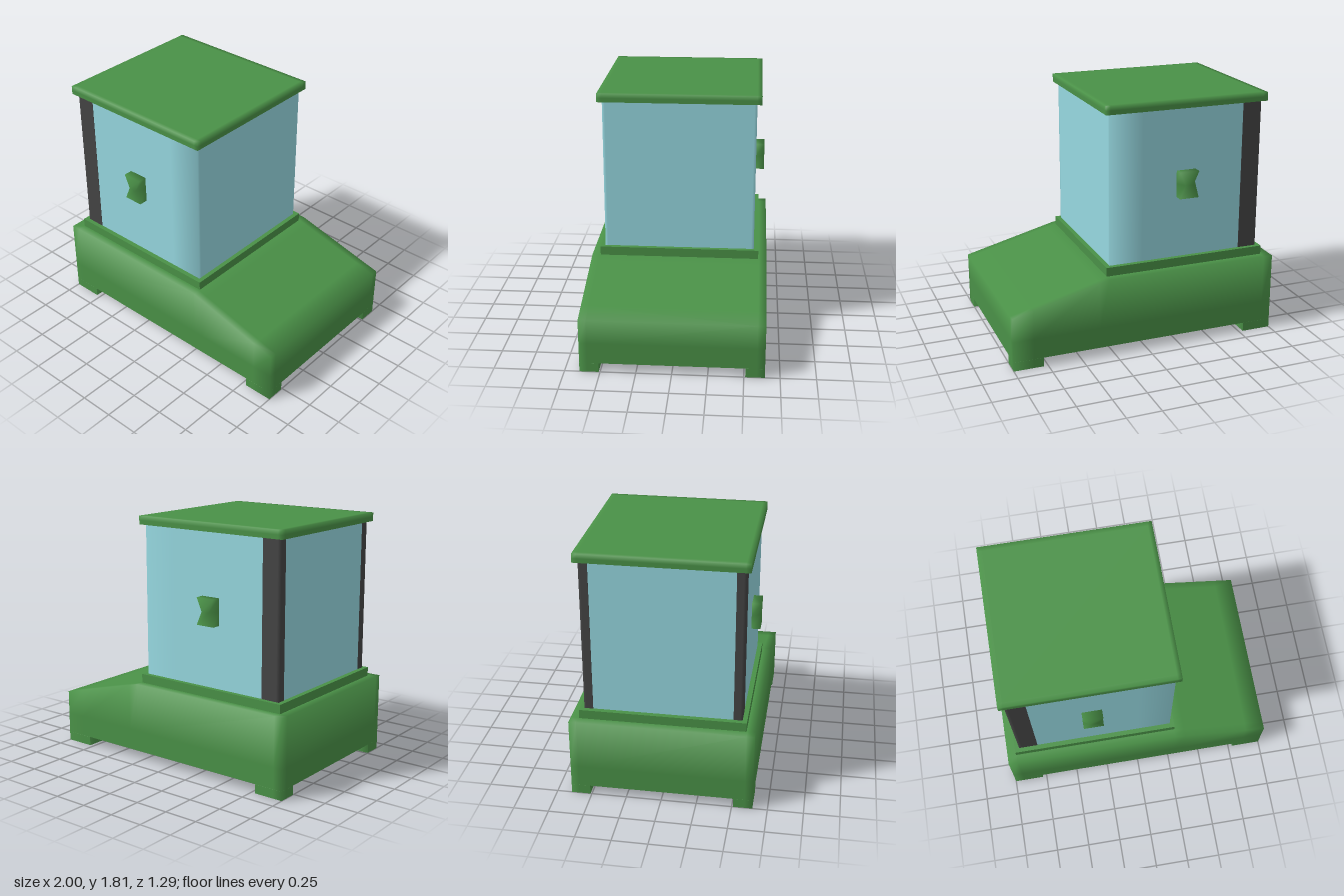
import * as THREE from 'three';
import { mergeVertices } from 'three/addons/utils/BufferGeometryUtils.js';

const green = new THREE.MeshStandardMaterial({ color: 0x4a9147 });
const blue = new THREE.MeshStandardMaterial({ color: 0x96d8e0 });
const dark = new THREE.MeshStandardMaterial({ color: 0x444444 });

// Box whose vertex rows sit at the given coordinates; normals are shared across
// the edges (except the underside), so the outer rows set how softly edges shade.
function softBox(xs, ys, zs, reshape) {
  const nx = xs.length - 1, ny = ys.length - 1, nz = zs.length - 1;
  const geo = new THREE.BoxGeometry(nx, ny, nz, nx, ny, nz);
  const pos = geo.attributes.position;
  for (let i = 0; i < pos.count; i++) {
    const p = [
      xs[Math.round(pos.getX(i) + nx / 2)],
      ys[Math.round(pos.getY(i) + ny / 2)],
      zs[Math.round(pos.getZ(i) + nz / 2)],
    ];
    if (reshape) reshape(p);
    pos.setXYZ(i, ...p);
  }
  geo.computeVertexNormals();
  const normal = geo.attributes.normal, sums = new Map();
  const key = (i) => [pos.getX(i), pos.getY(i), pos.getZ(i)].map((v) => v.toFixed(4)).join()
    + (normal.getY(i) < -0.9 ? 'under' : '');
  const keys = Array.from({ length: pos.count }, (_, i) => key(i));
  keys.forEach((k, i) => {
    if (!sums.has(k)) sums.set(k, new THREE.Vector3());
    sums.get(k).add(new THREE.Vector3().fromBufferAttribute(normal, i));
  });
  keys.forEach((k, i) => {
    const n = sums.get(k).clone().normalize();
    normal.setXYZ(i, n.x, n.y, n.z);
  });
  geo.deleteAttribute('uv');
  return mergeVertices(geo);
}

// Plain box given by its limits
function box(x0, x1, y0, y1, z0, z1) {
  return new THREE.BoxGeometry(x1 - x0, y1 - y0, z1 - z0)
    .translate((x0 + x1) / 2, (y0 + y1) / 2, (z0 + z1) / 2);
}

// Rows listed for the +z side, turned to the requested side in rising order
const side = (s, rows) => (s > 0 ? rows : rows.map((v) => -v).reverse());

export function createModel() {
  const model = new THREE.Group();
  const add = (name, geo, mat) => {
    const mesh = new THREE.Mesh(geo, mat);
    mesh.name = name;
    model.add(mesh);
    return mesh;
  };

  // Base body with a sloping top at the +x end
  const slopeStart = 0.287, top = 0.58, endTop = 0.395, under = 0.067;
  add('base', softBox(
    [-1, -0.93, slopeStart, 0.36, 0.85, 1],
    [under, 0.22, top],
    [-0.645, -0.59, 0.59, 0.645],
    (p) => {
      if (p[1] === top && p[0] > slopeStart) {
        p[1] = top - (top - endTop) * (p[0] - slopeStart) / (1 - slopeStart);
      }
    },
  ), green);

  // Four corner feet, flush with the base walls
  for (const sx of [-1, 1]) {
    for (const sz of [-1, 1]) {
      add('foot', softBox(
        sx > 0 ? [0.782, 0.783, 0.85, 1] : [-1, -0.93, -0.783, -0.782],
        [0, under - 0.001, under],
        side(sz, [0.51, 0.511, 0.59, 0.645]),
      ), green);
    }
  }

  // Plinth under the cabin and roof slab above it
  add('plinth', box(-0.935, slopeStart, top, 0.645, -0.583, 0.583), green);
  add('roof', softBox(
    [-0.935, -0.9, 0.255, slopeStart],
    [1.745, 1.775, 1.807],
    [-0.583, -0.55, 0.55, 0.583],
  ), green);

  // Cabin walls
  add('cabin', softBox(
    [-0.899, -0.89, 0, 0.254],
    [0.645, 0.65, 1.74, 1.745],
    [-0.549, -0.53, 0.53, 0.549],
  ), blue);

  for (const s of [-1, 1]) {
    // Dark corner post wrapping onto the end wall
    add('cornerPost', softBox(
      [-0.901, -0.88, -0.762, -0.761],
      [0.645, 0.646, 1.744, 1.745],
      side(s, [0.489, 0.49, 0.535, 0.551]),
    ), dark);

    // Handle: rectangular on the wall, outer face pinched at the waist
    const handle = add('handle', softBox(
      [-0.0725, 0.0725], [-0.097, 0, 0.097], [0, 0.066],
      (p) => {
        if (p[1] === 0 && p[2] > 0) p[0] *= 0.41;
      },
    ), green);
    handle.position.set(-0.3265, 1.195, s * 0.547);
    if (s < 0) handle.rotation.y = Math.PI;
  }

  return model;
}
